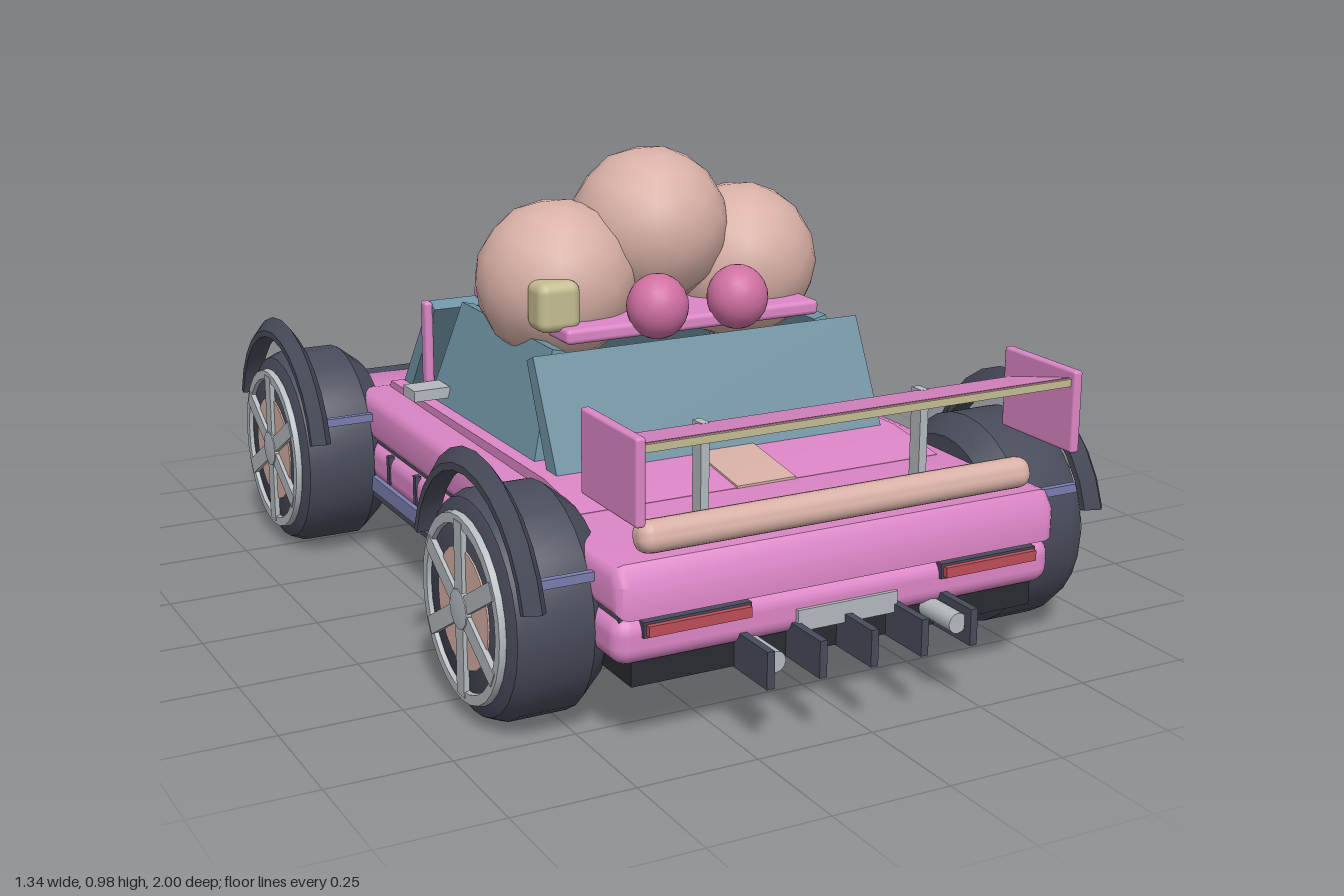
import * as THREE from 'three';
import { toCreasedNormals } from 'three/addons/utils/BufferGeometryUtils.js';
import { RoundedBoxGeometry } from 'three/addons/geometries/RoundedBoxGeometry.js';

const mat = (name, color) => {
  const m = new THREE.MeshStandardMaterial({ color, side: THREE.DoubleSide });
  m.name = name;
  return m;
};

export function createModel() {
  const pink = mat('pink paint', 0xdc86c6), flesh = mat('peach', 0xd8b0a6), rose = mat('rose', 0xd070a2);
  const glass = mat('teal glass', 0x7094a4), slate = mat('slate rubber', 0x484b5a), black = mat('dark underside', 0x2a2b31);
  const silver = mat('silver', 0xb4babf), cream = mat('cream', 0xc6bd92), blue = mat('dusty blue', 0x7a7eae), red = mat('red lamp', 0xc04e58);

  const car = new THREE.Group();
  car.name = 'car';
  const add = (name, geo, m, x = 0, y = 0, z = 0, parent = car) => {
    const mesh = new THREE.Mesh(geo, m);
    mesh.name = name;
    mesh.position.set(x, y, z);
    parent.add(mesh);
    return mesh;
  };
  // Box given by its limits on each axis
  const box = (name, m, x0, x1, y0, y1, z0, z1, r = 0) => {
    const s = [x1 - x0, y1 - y0, z1 - z0];
    const g = r ? new RoundedBoxGeometry(...s, 3, r) : new THREE.BoxGeometry(...s);
    return add(name, g, m, (x0 + x1) / 2, (y0 + y1) / 2, (z0 + z1) / 2);
  };
  // The same box on both sides
  const pair = (name, m, x0, x1, ...rest) => {
    box(name + 'Left', m, x0, x1, ...rest);
    box(name + 'Right', m, -x1, -x0, ...rest);
  };
  // Side profile of [z, y] points, extruded across the width
  const profile = (name, m, pts, half, bevel = 0) => {
    const shape = new THREE.Shape(pts.map(p => new THREE.Vector2(...p)));
    const g = new THREE.ExtrudeGeometry(shape, {
      depth: 2 * (half - bevel), bevelEnabled: bevel > 0, bevelSize: bevel,
      bevelThickness: bevel, bevelOffset: -bevel, bevelSegments: 3,
    });
    g.translate(0, 0, bevel - half).rotateY(-Math.PI / 2);
    return add(name, toCreasedNormals(g, 0.7), m);
  };
  // Thing turned about the x axis from [x, radius] points
  const turned = (pts, segs, start = 0, len = Math.PI * 2) => {
    const g = new THREE.LatheGeometry(pts.map(([x, r]) => new THREE.Vector2(r, x)), segs, start, len);
    return toCreasedNormals(g.rotateZ(-Math.PI / 2), 0.5);
  };

  // Chassis and lower body
  box('floorPan', black, -0.45, 0.45, 0.14, 0.2, -0.84, 0.88);
  box('lowerBody', pink, -0.49, 0.49, 0.185, 0.28, -0.86, 0.9, 0.035);
  box('waistGroove', slate, -0.475, 0.475, 0.26, 0.31, -0.84, 0.88);
  profile('upperBody', pink, [[0.905, 0.28], [0.905, 0.345], [0.88, 0.38], [-0.42, 0.385], [-0.84, 0.3], [-0.875, 0.28], [-0.875, 0.255], [-0.42, 0.28]], 0.49, 0.025);
  profile('cabinBase', pink, [[0.6, 0.37], [0.6, 0.382], [0.44, 0.405], [-0.4, 0.4], [-0.42, 0.37]], 0.415);
  profile('deckStripe', flesh, [[0.602, 0.375], [0.602, 0.386], [0.44, 0.409], [-0.4, 0.404], [-0.42, 0.375]], 0.068);

  // Sills and door details
  pair('sill', blue, 0.455, 0.495, 0.165, 0.2, -0.4, 0.42);
  pair('sillLip', slate, 0.45, 0.49, 0.148, 0.165, -0.4, 0.42);
  for (const z of [-0.23, -0.07, 0.3]) pair('doorGap', slate, 0.48, 0.493, 0.21, 0.275, z - 0.008, z + 0.008);
  pair('doorHandle', silver, 0.485, 0.498, 0.25, 0.266, 0.12, 0.21);

  // Cabin glass: front, rear and two leaning sides
  const pane = (name, z0, z1, lean) => profile(name, glass,
    [[z0, 0.39], [z0 + lean, 0.39], [z1 + lean * 0.6, 0.61], [z1, 0.625]], 0.385);
  pane('windshield', -0.4, -0.225, 0.05);
  pane('rearWindow', 0.44, 0.325, -0.05);
  for (const s of [1, -1]) {
    const side = profile('sideWindow', glass, [[0.325, 0], [-0.235, 0], [-0.175, 0.24], [0.295, 0.24]], 0.015);
    side.position.set(s * 0.372, 0.39, 0);
    side.rotation.z = s * 0.25;
  }
  pair('pillar', pink, 0.382, 0.402, 0.39, 0.625, -0.24, -0.208, 0.008);
  pair('mirror', silver, 0.375, 0.46, 0.42, 0.445, -0.205, -0.14);
  box('roof', pink, -0.3, 0.3, 0.633, 0.665, -0.175, 0.31, 0.01);

  // Round load on the roof
  const ball = (name, r, m, x, y, z) => add(name, new THREE.IcosahedronGeometry(r, r > 0.1 ? 2 : 3), m, x, y, z);
  ball('middleBall', 0.172, flesh, 0, 0.818, 0.092);
  for (const s of [1, -1]) {
    ball('sideBall', 0.174, flesh, s * 0.222, 0.72, 0.092);
    ball('smallBall', 0.065, rose, s * 0.095, 0.695, 0.312).scale.y = 1.06;
  }
  box('roofLamp', cream, -0.345, -0.25, 0.652, 0.757, 0.2, 0.28, 0.022);

  // Rear wing, lip and lamps
  profile('wing', pink, [[0.765, 0.572], [0.765, 0.585], [0.95, 0.628], [0.95, 0.612]], 0.468);
  box('wingEdge', cream, -0.465, 0.465, 0.611, 0.626, 0.948, 0.956);
  pair('wingEndPlate', pink, 0.465, 0.485, 0.478, 0.643, 0.745, 0.967, 0.006);
  pair('wingStrut', silver, 0.237, 0.255, 0.37, 0.59, 0.752, 0.785);
  const lip = box('rearLip', flesh, -0.435, 0.435, 0.39, 0.452, 0.835, 0.9, 0.027);
  lip.rotation.x = -0.3;
  pair('rearLampFrame', slate, 0.213, 0.438, 0.243, 0.274, 0.885, 0.907);
  pair('rearLamp', red, 0.218, 0.433, 0.248, 0.269, 0.9, 0.918);
  box('rearPlate', silver, -0.112, 0.112, 0.195, 0.238, 0.895, 0.908);

  // Rear diffuser and exhausts
  for (let i = -2; i <= 2; i++) box('diffuserFin', slate, i * 0.113 - 0.008, i * 0.113 + 0.008, 0.138, 0.212, 0.84, 1);
  for (const s of [1, -1]) {
    const pipe = new THREE.CylinderGeometry(0.021, 0.021, 0.14, 12).rotateX(Math.PI / 2);
    add('exhaust', pipe, silver, s * 0.203, 0.18, 0.91);
  }

  // Nose: lamps, grille and splitter
  pair('headlamp', cream, 0.225, 0.43, 0.225, 0.26, -0.888, -0.85, 0.008);
  box('grille', slate, -0.14, 0.14, 0.21, 0.275, -0.9, -0.85);
  box('splitter', silver, -0.468, 0.468, 0.148, 0.16, -0.97, -0.84);
  box('splitterEdge', slate, -0.45, 0.45, 0.14, 0.158, -1, -0.96);
  box('splitterBase', cream, -0.44, 0.44, 0.14, 0.148, -0.96, -0.86);

  // Wheels with their separate arches, built for the left and turned for the right
  const tyreGeo = turned([[-0.11, 0], [-0.11, 0.185], [-0.06, 0.225], [0.06, 0.225], [0.09, 0.212], [0.105, 0.18], [0.105, 0]], 28);
  const rimGeo = turned([[0.1, 0.188], [0.114, 0.185], [0.114, 0.165], [0.1, 0.162]], 28);
  const discGeo = turned([[0.1, 0.122], [0.108, 0.12], [0.108, 0]], 24);
  const hubGeo = turned([[0.1, 0.045], [0.118, 0.04], [0.122, 0]], 12);
  const archGeo = turned([[0.055, 0.255], [0.055, 0.27], [0.075, 0.298], [0.1, 0.27], [0.1, 0.255], [0.055, 0.255]], 12, Math.PI + 0.25, Math.PI - 0.5);
  for (const s of [1, -1]) for (const z of [0.59, -0.55]) {
    const wheel = new THREE.Group();
    wheel.name = (z > 0 ? 'rear' : 'front') + 'Wheel' + (s > 0 ? 'Left' : 'Right');
    wheel.position.set(s * 0.55, 0.23, z);
    if (s < 0) wheel.rotation.y = Math.PI;
    car.add(wheel);
    add('tyre', tyreGeo, slate, 0, 0, 0, wheel);
    add('rim', rimGeo, silver, 0, 0, 0, wheel);
    add('brakeDisc', discGeo, flesh, 0, 0, 0, wheel);
    add('hub', hubGeo, silver, 0, 0, 0, wheel);
    for (let i = 0; i < 3; i++) {
      const spoke = add('spoke', new THREE.BoxGeometry(0.016, 0.35, 0.036), silver, 0.108, 0, 0, wheel);
      spoke.rotation.x = i * Math.PI / 3;
    }
    add('wheelArch', archGeo, slate, 0, 0.008, 0, wheel);
    for (const d of [-0.215, 0.215])
      add('archBracket', new THREE.BoxGeometry(0.15, 0.018, 0.014), blue, -0.01, 0.11, d, wheel);
  }
  return car;
}
